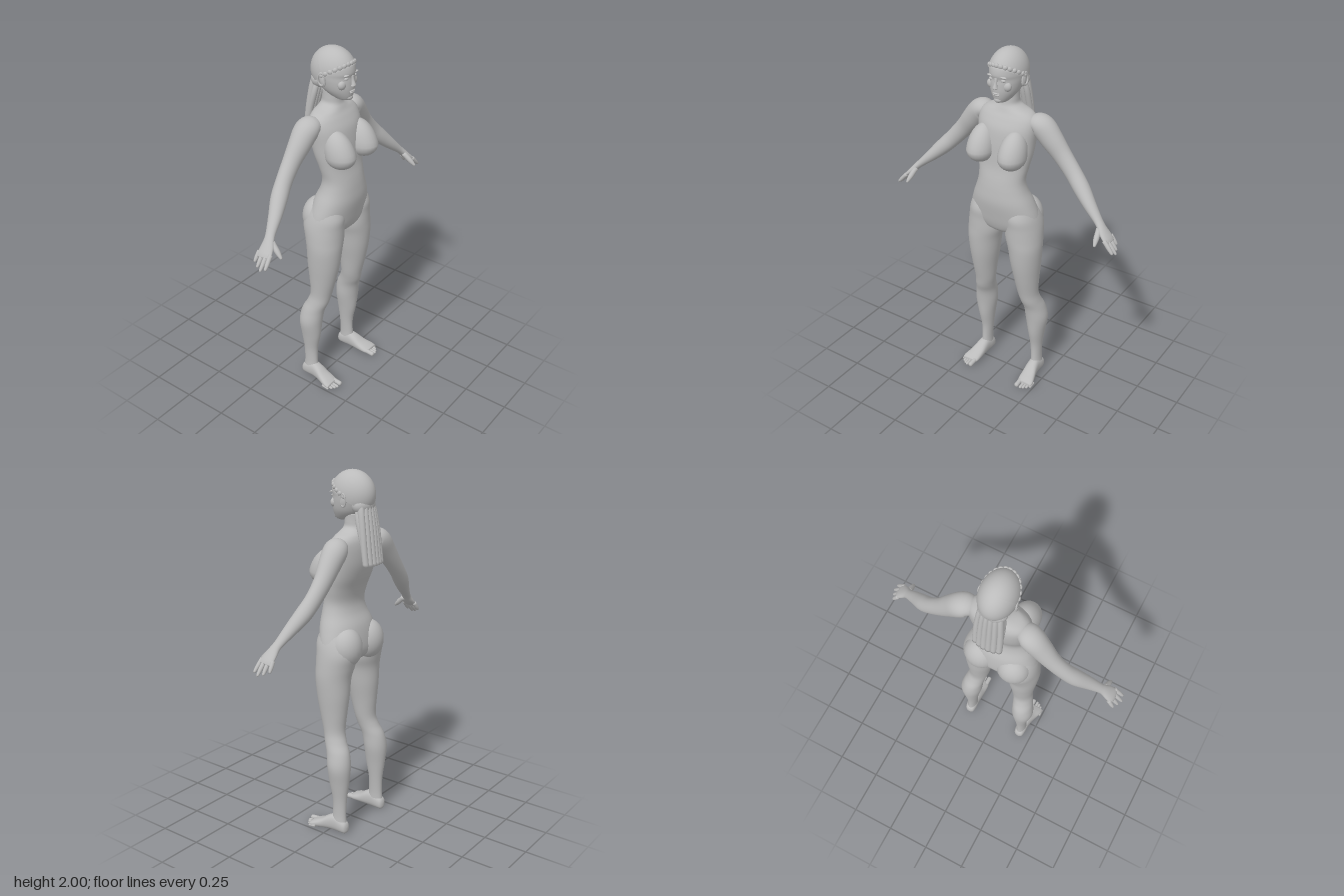
import * as THREE from 'three';

const V = (x, y, z) => new THREE.Vector3(x, y, z);
const X = V(1, 0, 0), Y = V(0, 1, 0), Z = V(0, 0, 1);

// Catmull-Rom resampling of section rows
function smooth(rows, steps) {
  const out = [], at = i => rows[Math.min(rows.length - 1, Math.max(0, i))];
  for (let i = 0; i < rows.length - 1; i++) {
    for (let s = 0; s < steps; s++) {
      const t = s / steps, [p, q, r, w] = [at(i - 1), at(i), at(i + 1), at(i + 2)];
      out.push(q.map((_, k) => 0.5 * (2 * q[k] + (r[k] - p[k]) * t +
        (2 * p[k] - 5 * q[k] + 4 * r[k] - w[k]) * t * t + (3 * q[k] - p[k] - 3 * r[k] + w[k]) * t * t * t)));
    }
  }
  out.push(rows[rows.length - 1]);
  return out;
}

// Closed skin over sections [x, y, z, radius along ref, radius across]
function loft(rows, ref, axis = null, n = 32, steps = 4, power = 1) {
  const r = smooth(rows, steps), pos = [], idx = [];
  const c = i => V(r[i][0], r[i][1], r[i][2]);
  const sq = v => Math.sign(v) * Math.abs(v) ** power;
  r.forEach((row, i) => {
    const T = axis || c(Math.min(r.length - 1, i + 1)).sub(c(Math.max(0, i - 1))).normalize();
    const u = ref.clone().addScaledVector(T, -ref.dot(T)).normalize(), v = T.clone().cross(u);
    for (let j = 0; j < n; j++) {
      const a = j / n * Math.PI * 2;
      const p = c(i).addScaledVector(u, row[3] * sq(Math.cos(a))).addScaledVector(v, row[4] * sq(Math.sin(a)));
      pos.push(p.x, p.y, p.z);
      const k = (j + 1) % n, o = i * n;
      if (i < r.length - 1) idx.push(o + j, o + k, o + n + j, o + k, o + n + k, o + n + j);
    }
  });
  const last = (r.length - 1) * n, m = r.length * n;
  pos.push(...c(0).toArray(), ...c(r.length - 1).toArray());
  for (let j = 0; j < n; j++) {
    const k = (j + 1) % n;
    idx.push(m, k, j, m + 1, last + j, last + k);
  }
  const g = new THREE.BufferGeometry();
  g.setAttribute('position', new THREE.Float32BufferAttribute(pos, 3));
  g.setIndex(idx);
  g.computeVertexNormals();
  return g;
}

// Upright skin from [y, half width, front z, back z, centre x], listed top down
const upright = (rows, power = 1) => loft(rows.map(([y, w, f, b, x = 0]) =>
  [x, y, (f + b) / 2, (f - b) / 2, w]).reverse(), Z, Y, 40, 5, power);

const ball = (x, y, z, rx, ry, rz, tilt = 0) =>
  new THREE.SphereGeometry(1, 24, 16).scale(rx, ry, rz).rotateX(tilt).translate(x, y, z);

// Rounded tapering digit from a to b
function digit(a, b, r0, r1, ref = Z) {
  const rows = [[0, r0], [0.35, r0], [0.6, r0 * 0.95], [0.88, r1], [0.97, r1 * 0.65], [1, r1 * 0.1]];
  return loft(rows.map(([t, r]) => [...a.map((v, k) => v + (b[k] - v) * t), r, r]), ref, null, 12, 2);
}

function flipped(g) {
  const m = g.clone().scale(-1, 1, 1), i = m.index;
  for (let k = 0; k < i.count; k += 3) {
    const t = i.getX(k);
    i.setX(k, i.getX(k + 1));
    i.setX(k + 1, t);
  }
  return m;
}

export function createModel() {
  const model = new THREE.Group();
  model.name = 'figure';
  const grey = new THREE.MeshStandardMaterial({ color: 0xbbbbbb });
  grey.name = 'grey';
  const add = (name, g) => {
    const m = new THREE.Mesh(g, grey);
    m.name = name;
    model.add(m);
  };
  const pair = (name, g) => {
    add('left ' + name, g);
    add('right ' + name, flipped(g));
  };

  // Torso and neck
  add('torso', upright([
    [1.78, 0.05, 0.02, -0.078], [1.74, 0.051, 0.022, -0.078], [1.71, 0.056, 0.026, -0.083],
    [1.69, 0.085, 0.035, -0.09], [1.67, 0.135, 0.045, -0.1], [1.64, 0.163, 0.064, -0.11],
    [1.59, 0.168, 0.088, -0.114], [1.52, 0.163, 0.1, -0.108], [1.45, 0.157, 0.105, -0.088],
    [1.38, 0.145, 0.11, -0.06], [1.31, 0.135, 0.125, -0.045], [1.25, 0.147, 0.134, -0.055],
    [1.18, 0.176, 0.138, -0.085], [1.1, 0.202, 0.126, -0.1], [1.04, 0.205, 0.113, -0.1],
    [1.0, 0.14, 0.095, -0.08], [0.975, 0.05, 0.06, -0.04]], 0.92));

  // Bust, longer above than below
  const bust = ball(0, 0, 0, 0.073, 0.073, 0.088);
  const bp = bust.attributes.position;
  for (let i = 0; i < bp.count; i++) {
    const y = bp.getY(i);
    if (y > 0) bp.setXYZ(i, bp.getX(i), y * 1.75, bp.getZ(i) - y * 0.45);
  }
  bust.computeVertexNormals();
  pair('bust', bust.translate(0.096, 1.47, 0.095));
  pair('buttock', ball(0.098, 1.07, -0.045, 0.095, 0.112, 0.087));

  // Legs and feet
  pair('leg', upright([
    [1.16, 0.07, 0.1, -0.06, 0.108], [1.1, 0.09, 0.12, -0.1, 0.112], [1.04, 0.1, 0.118, -0.115, 0.116],
    [0.97, 0.103, 0.117, -0.1, 0.12], [0.9, 0.094, 0.115, -0.085, 0.131], [0.8, 0.083, 0.105, -0.08, 0.135],
    [0.7, 0.069, 0.086, -0.07, 0.139], [0.6, 0.058, 0.062, -0.062, 0.143], [0.54, 0.056, 0.048, -0.078, 0.153],
    [0.48, 0.059, 0.026, -0.107, 0.165], [0.4, 0.063, 0.014, -0.12, 0.173], [0.3, 0.047, 0.004, -0.112, 0.173],
    [0.2, 0.033, -0.014, -0.1, 0.172], [0.11, 0.028, -0.014, -0.097, 0.174], [0.05, 0.031, -0.005, -0.102, 0.176]]));
  pair('foot', loft([
    [0.176, 0.03, -0.112, 0.008, 0.012], [0.176, 0.034, -0.102, 0.026, 0.032], [0.176, 0.044, -0.07, 0.033, 0.043],
    [0.177, 0.05, -0.03, 0.033, 0.049], [0.18, 0.043, 0.01, 0.037, 0.042], [0.186, 0.03, 0.05, 0.043, 0.029],
    [0.193, 0.021, 0.09, 0.048, 0.02], [0.196, 0.016, 0.115, 0.043, 0.013]], X, Z, 24, 4, 0.85));
  for (let i = 0; i < 5; i++) {
    const r = i ? 0.0095 - i * 0.0004 : 0.014, x = i ? 0.174 + i * 0.0155 : 0.164;
    pair('toe', digit([x, r + 0.006, 0.085 - i * 0.003], [x, r, 0.155 - i * i * 0.0024], r, r * 0.95, X));
  }

  // Arms and hands
  pair('arm', loft([
    [0.13, 1.615, -0.035, 0.045, 0.035], [0.165, 1.622, -0.04, 0.062, 0.054], [0.198, 1.6, -0.047, 0.065, 0.063],
    [0.245, 1.545, -0.05, 0.057, 0.06], [0.305, 1.473, -0.054, 0.046, 0.051], [0.375, 1.395, -0.048, 0.042, 0.046],
    [0.435, 1.332, -0.032, 0.044, 0.043], [0.5, 1.268, -0.006, 0.036, 0.033], [0.56, 1.212, 0.015, 0.027, 0.022],
    [0.585, 1.188, 0.024, 0.028, 0.019], [0.61, 1.16, 0.031, 0.037, 0.018], [0.637, 1.133, 0.036, 0.042, 0.014],
    [0.65, 1.119, 0.038, 0.036, 0.009]], Z));
  [[-0.001, 0.667, 1.087, -0.006], [0.024, 0.683, 1.073, 0.023], [0.049, 0.695, 1.066, 0.051], [0.07, 0.687, 1.078, 0.078]]
    .forEach(([z, tx, ty, tz]) => pair('finger', digit([0.632, 1.138, z], [tx, ty, tz], 0.0115, 0.008)));
  pair('thumb', digit([0.585, 1.178, 0.042], [0.599, 1.113, 0.113], 0.015, 0.009, X));

  // Head and face
  add('head', upright([
    [1.99, 0.03, 0.02, -0.06], [1.97, 0.06, 0.062, -0.1], [1.93, 0.081, 0.092, -0.12],
    [1.89, 0.087, 0.101, -0.128], [1.865, 0.087, 0.096, -0.125], [1.84, 0.084, 0.098, -0.115],
    [1.81, 0.077, 0.099, -0.1], [1.785, 0.067, 0.097, -0.08], [1.76, 0.05, 0.092, -0.045],
    [1.743, 0.033, 0.083, 0.0], [1.735, 0.014, 0.065, 0.035]]));
  add('nose', loft([
    [0, 1.818, 0.1, 0.004, 0.01], [0, 1.822, 0.103, 0.012, 0.016], [0, 1.83, 0.103, 0.012, 0.012],
    [0, 1.85, 0.098, 0.009, 0.008], [0, 1.875, 0.094, 0.007, 0.009]].map(([x, y, z, f, w]) => [x, y, z, f, w]), Z, Y, 16));
  add('upper lip', ball(0, 1.793, 0.096, 0.022, 0.005, 0.008));
  add('lower lip', ball(0, 1.785, 0.095, 0.019, 0.006, 0.008));
  add('chin', ball(0, 1.755, 0.079, 0.022, 0.016, 0.016));
  pair('eye', ball(0.034, 1.863, 0.083, 0.014, 0.008, 0.01));
  pair('brow', ball(0.035, 1.882, 0.088, 0.022, 0.005, 0.01));
  pair('cheek', ball(0.045, 1.83, 0.066, 0.026, 0.026, 0.02));

  // Ears
  pair('ear', ball(0.088, 1.85, -0.022, 0.011, 0.036, 0.019, -0.2));
  pair('ear rim', new THREE.TorusGeometry(0.022, 0.005, 8, 24).scale(0.8, 1.45, 1)
    .rotateY(Math.PI / 2 - 0.2).translate(0.095, 1.853, -0.025));

  // Swept-back hair with a braided hairline
  const tilt = -0.5, onHead = g => g.rotateX(tilt).scale(0.096, 0.125, 0.127).translate(0, 1.875, -0.019);
  const cap = onHead(new THREE.SphereGeometry(1, 40, 20, 0, Math.PI * 2, 0, Math.PI * 0.53));
  cap.computeVertexNormals();
  add('hair cap', cap);
  add('hair nape', ball(0, 1.825, -0.085, 0.078, 0.055, 0.052));
  for (let i = 0; i <= 14; i++) {
    const a = (i / 14 - 0.5) * Math.PI * 1.05;
    const p = V(Math.sin(a), 0, Math.cos(a)).applyAxisAngle(X, tilt).multiply(V(0.093, 0.125, 0.124));
    add('braid strand', new THREE.SphereGeometry(1, 12, 8).scale(0.014, 0.012, 0.009)
      .rotateZ(i % 2 ? 0.5 : -0.5).rotateY(a).translate(p.x, p.y + 1.877, p.z - 0.019));
  }

  // Ponytail of flat strands, in an outer and an inner layer
  for (let i = 0; i < 6; i++) {
    const s = i - 2.5, bow = s * s * 0.0022;
    add('ponytail strand', loft([
      [s * 0.018, 1.85, -0.112 + bow, 0.014, 0.012], [s * 0.022, 1.8, -0.122 + bow, 0.019, 0.015],
      [s * 0.025, 1.7, -0.138 + bow, 0.019, 0.016], [s * 0.026, 1.6, -0.152 + bow, 0.017, 0.017],
      [s * 0.026, 1.52, -0.163 + bow, 0.016, 0.017]].reverse(), Z, Y, 14));
    add('inner ponytail strand', loft([
      [s * 0.018, 1.83, -0.085, 0.014, 0.012], [s * 0.024, 1.76, -0.095, 0.017, 0.015],
      [s * 0.025, 1.65, -0.122, 0.015, 0.016], [s * 0.024, 1.52, -0.148, 0.013, 0.015]].reverse(), Z, Y, 14));
  }
  return model;
}
